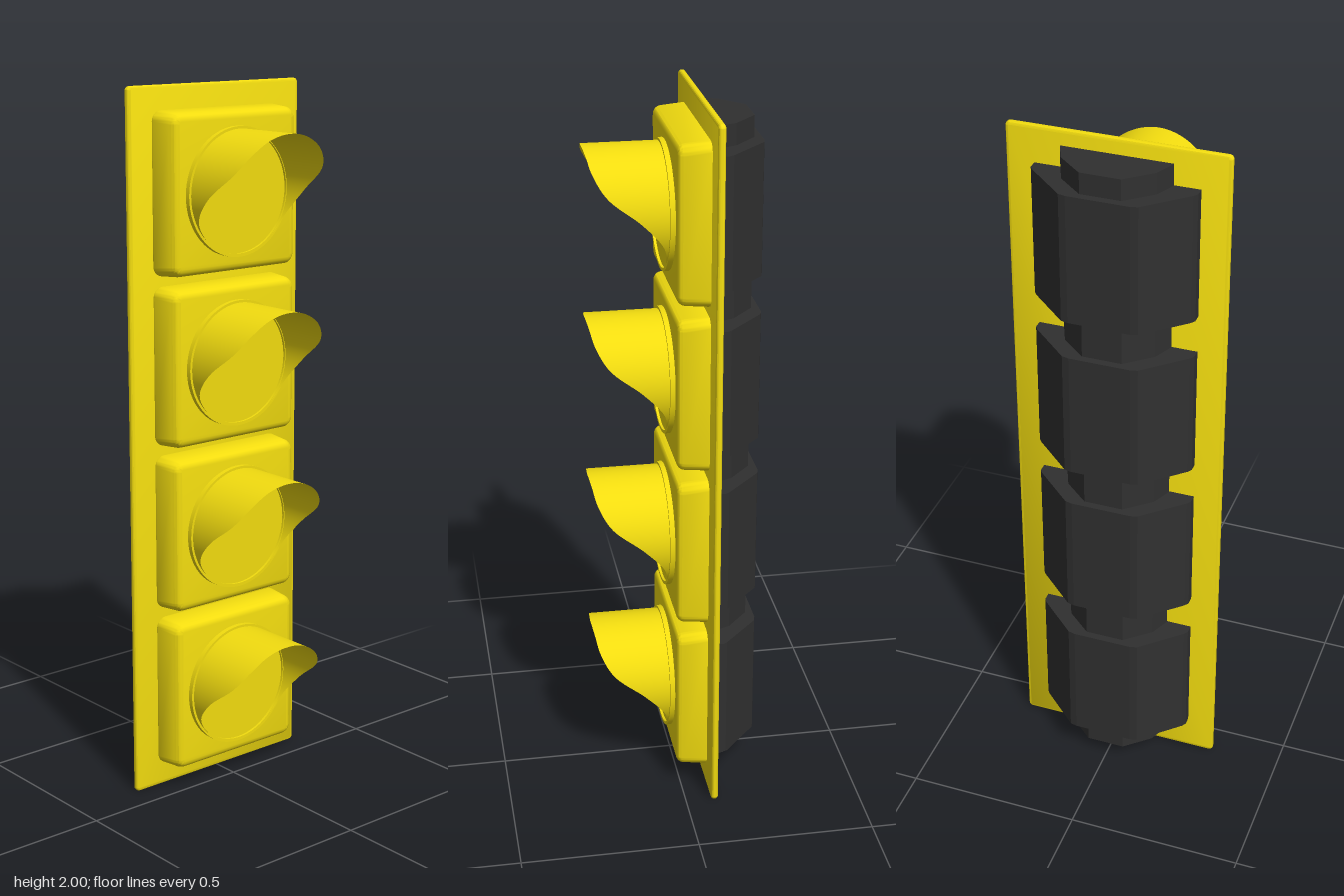
import * as THREE from 'three';
import { toCreasedNormals } from 'three/addons/utils/BufferGeometryUtils.js';

const yellow = new THREE.MeshStandardMaterial({ color: 0xf2dc0f });
const yellowThin = new THREE.MeshStandardMaterial({ color: 0xf2dc0f, side: THREE.DoubleSide });
const dark = new THREE.MeshStandardMaterial({ color: 0x303030 });

const UNITS = 4, FIRST = 0.293, PITCH = 0.474;

function add(parent, name, geometry, material) {
  const mesh = new THREE.Mesh(geometry, material);
  mesh.name = name;
  parent.add(mesh);
  return mesh;
}

// Rectangular slab from z0 to z1 with rounded edges and corners
function slab(w, h, z0, z1, bevel) {
  const x = w / 2 - bevel, y = h / 2 - bevel, r = bevel * 0.5;
  const shape = new THREE.Shape();
  shape.absarc(x - r, y - r, r, 0, Math.PI / 2);
  shape.absarc(-x + r, y - r, r, Math.PI / 2, Math.PI);
  shape.absarc(-x + r, -y + r, r, Math.PI, Math.PI * 1.5);
  shape.absarc(x - r, -y + r, r, Math.PI * 1.5, Math.PI * 2);
  const g = new THREE.ExtrudeGeometry(shape, {
    depth: z1 - z0 - 2 * bevel, bevelSize: bevel, bevelThickness: bevel, bevelSegments: 4, curveSegments: 5,
  });
  return g.translate(0, 0, z0 + bevel);
}

// Dark rear body: half profile [x, depth behind zero] mirrored and run vertically
function rearBody(half, y0, y1) {
  const left = half.map(([x, d]) => new THREE.Vector2(-x, d)).reverse();
  const right = half.map(([x, d]) => new THREE.Vector2(x, d));
  const g = new THREE.ExtrudeGeometry(new THREE.Shape([...right, ...left]), {
    depth: y1 - y0, bevelEnabled: false,
  });
  return g.rotateX(-Math.PI / 2).translate(0, y0, 0);
}

// Hood: tube whose front edge sweeps from a long top lip to almost nothing below
function visorGeometry(r) {
  const edge = new THREE.SplineCurve(
    [0.235, 0.23, 0.219, 0.183, 0.1, 0.043, 0.028, 0.026, 0.026].map((z, i) => new THREE.Vector2(i, z)));
  const g = new THREE.CylinderGeometry(r, r, 2, 96, 1, true).rotateX(-Math.PI / 2);
  const p = g.attributes.position;
  for (let i = 0; i < p.count; i++) {
    const angle = Math.acos(THREE.MathUtils.clamp(p.getY(i) / r, -1, 1));
    p.setZ(i, p.getZ(i) > 0 ? edge.getPoint(angle / Math.PI).y : 0.01);
  }
  return g;
}

// Square front housing, narrowing slightly toward the front
function housingGeometry() {
  const g = slab(0.446, 0.446, -0.09, 0.013, 0.02);
  const p = g.attributes.position;
  for (let i = 0; i < p.count; i++) {
    const s = 1 - 0.03 * (p.getZ(i) + 0.075) / 0.088;
    p.setXY(i, p.getX(i) * s, p.getY(i) * s);
  }
  return toCreasedNormals(g, 0.6);
}

// Lens disc set just inside a raised rim
function lensGeometry() {
  const profile = [[0.177, 0.01], [0.177, 0.027], [0.168, 0.027], [0.168, 0.02], [0, 0.02]];
  const g = new THREE.LatheGeometry(profile.map(p => new THREE.Vector2(...p)), 64);
  return toCreasedNormals(g.rotateX(Math.PI / 2), 0.6);
}

export function createModel() {
  const model = new THREE.Group();
  model.name = 'signalHead';

  const plate = slab(0.6, 2, -0.093, -0.073, 0.008).translate(0, 1, 0);
  add(model, 'backplate', toCreasedNormals(plate, 0.6), yellow);

  // Narrow spine joining the rear bodies
  add(model, 'rearSpine', rearBody(
    [[0.15, 0.09], [0.15, 0.097], [0.126, 0.153], [0.055, 0.215]], 0.05, 1.957), dark);

  const housing = housingGeometry();
  const visor = visorGeometry(0.17);
  const lens = lensGeometry();
  const body = rearBody([[0.222, 0.09], [0.222, 0.118], [0.214, 0.13],
    [0.105, 0.231], [0.085, 0.236]], -0.183, 0.183);

  for (let i = 0; i < UNITS; i++) {
    const unit = new THREE.Group();
    unit.name = 'lampUnit' + (i + 1);
    unit.position.y = FIRST + i * PITCH;
    const front = new THREE.Group();
    front.name = 'lampFront';
    front.position.y = -0.004;
    add(front, 'housing', housing, yellow);
    add(front, 'lens', lens, yellowThin);
    add(front, 'visor', visor, yellowThin);
    unit.add(front);
    add(unit, 'rearBody', body, dark);
    model.add(unit);
  }
  return model;
}
